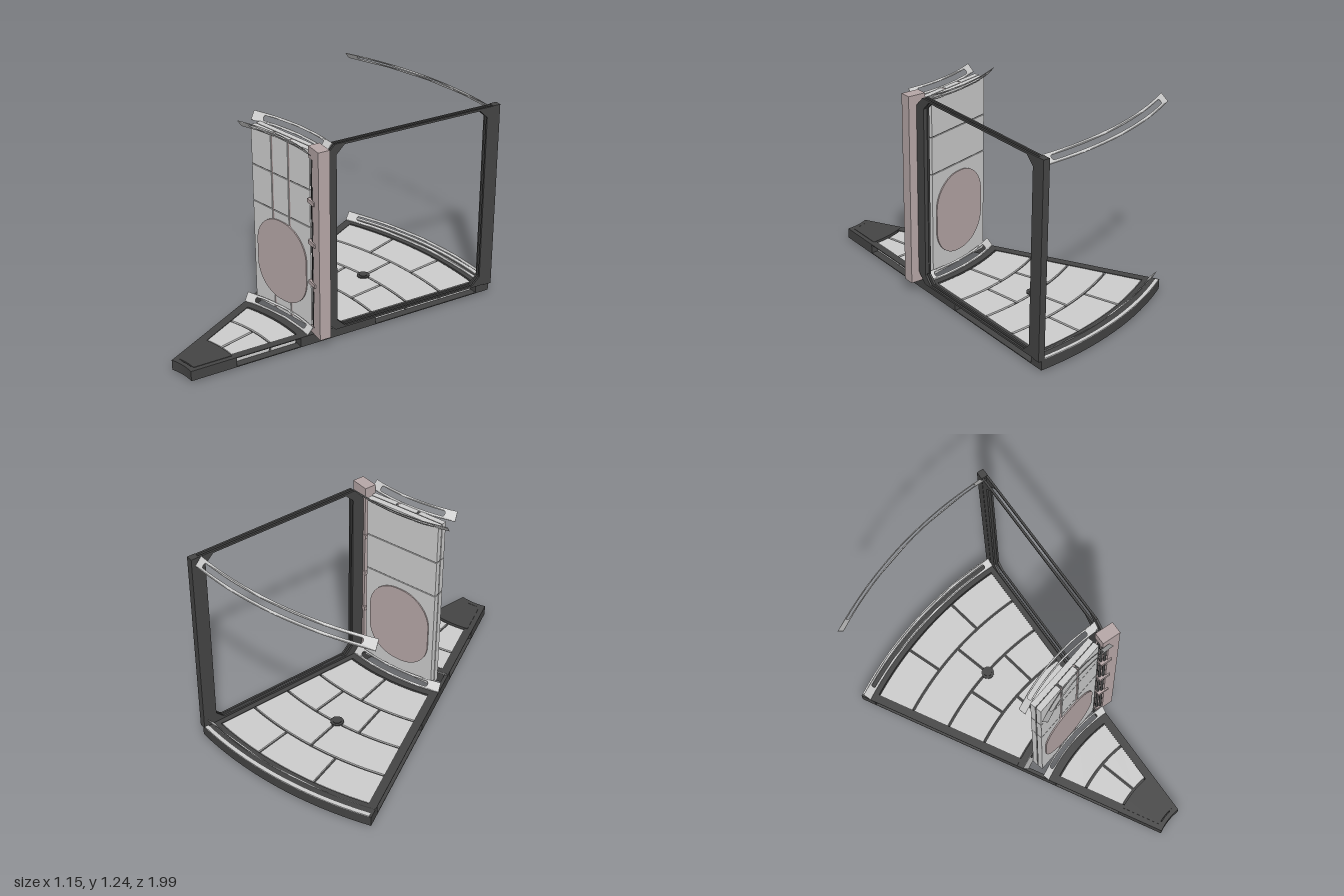
import * as THREE from 'three';

const DEG = Math.PI / 180;
const material = (color, side = THREE.FrontSide) => new THREE.MeshStandardMaterial({ color, side });
const light = material(0xcccccc);
const thin = material(0xcccccc, THREE.DoubleSide);
const dark = material(0x444444);
const brown = material(0xb5a6a6);

function add(parent, name, geometry, mat, x = 0, y = 0, z = 0) {
  const mesh = new THREE.Mesh(geometry, mat);
  mesh.name = name;
  mesh.position.set(x, y, z);
  parent.add(mesh);
  return mesh;
}

// Box given by its min and max corners
function block(parent, name, mat, [x0, y0, z0], [x1, y1, z1]) {
  return add(parent, name, new THREE.BoxGeometry(x1 - x0, y1 - y0, z1 - z0), mat,
    (x0 + x1) / 2, (y0 + y1) / 2, (z0 + z1) / 2);
}

const polar = (r, t) => new THREE.Vector2(r * Math.sin(t), r * Math.cos(t));

// Ring sector; each side is [angle in degrees, parallel offset]
function sector(r0, r1, [a, da], [b, db]) {
  const n = 16, pts = [];
  const at = (r, f) => {
    const ta = a * DEG + Math.asin(da / r), tb = b * DEG + Math.asin(db / r);
    return polar(r, ta + (tb - ta) * f);
  };
  for (let i = 0; i <= n; i++) pts.push(at(r0, i / n));
  for (let i = n; i >= 0; i--) pts.push(at(r1, i / n));
  return new THREE.Shape(pts);
}

// Extrude a plan shape upwards from y0 to y1
function slab(shape, y0, y1) {
  const g = new THREE.ExtrudeGeometry(shape, { depth: y1 - y0, bevelEnabled: false });
  return g.rotateX(-Math.PI / 2).translate(0, y0, 0);
}

// Sloping curved trim with a long rounded slot
function slottedTrim(rA, yA, rB, yB, slot0, slot1) {
  const shape = sector(Math.min(rA, rB), Math.max(rA, rB), [0, 0], [30, -0.018]);
  const rm = (rA + rB) / 2, hw = 0.01, hole = [];
  for (let i = 0; i <= 8; i++) {
    const p = i / 8 * Math.PI;
    hole.push(polar(rm + hw * Math.cos(p), slot1 * DEG + hw * Math.sin(p) / rm));
  }
  for (let i = 1; i < 20; i++) hole.push(polar(rm - hw, (slot1 + (slot0 - slot1) * i / 20) * DEG));
  for (let i = 0; i <= 8; i++) {
    const p = Math.PI + i / 8 * Math.PI;
    hole.push(polar(rm + hw * Math.cos(p), slot0 * DEG + hw * Math.sin(p) / rm));
  }
  for (let i = 1; i < 20; i++) hole.push(polar(rm + hw, (slot0 + (slot1 - slot0) * i / 20) * DEG));
  shape.holes.push(new THREE.Path(hole));
  const g = slab(shape, -0.002, 0.002), p = g.attributes.position;
  for (let i = 0; i < p.count; i++) {
    const r = Math.hypot(p.getX(i), p.getZ(i));
    p.setY(i, p.getY(i) + yA + (yB - yA) * (r - rA) / (rB - rA));
  }
  g.computeVertexNormals();
  return g;
}

function buildFloor(floor) {
  const L = [0, 0], Li = [0, 0.05], Ri = [30, -0.065], R = [30, -0.018];
  const Y0 = 0.012, Y1 = 0.075;

  // Curved cross members
  for (const [r0, r1] of [[0.345, 0.37], [1.02, 1.065], [1.225, 1.27], [2.21, 2.3]])
    add(floor, 'floorCrossMember', slab(sector(r0, r1, L, R), Y0, Y1), dark);
  add(floor, 'outerLedge', slab(sector(2.277, 2.3, [0, 0.012], R), Y1, 0.08), light);

  // Side rails: solid at the joints, open channels beside the tiles
  for (const [a, b] of [[L, Li], [Ri, R]]) {
    const left = a === L;
    const solid = (r0, r1) => add(floor, 'sideRail',
      slab(sector(r0, r1, left && r0 > 1.06 && r1 < 1.23 ? [0, 0] : a,
        left && r0 > 1.06 && r1 < 1.23 ? [0, 0.02] : b), Y0, Y1), dark);
    solid(0.37, 0.62);
    solid(1.065, 1.225);
    solid(1.27, 1.51);
    for (const [r0, r1] of [[0.62, 1.02], [1.51, 2.21]])
      for (const y of [Y0, Y1 - 0.005])
        add(floor, 'railFlange', slab(sector(r0, r1, a, b), y, y + 0.005), dark);
  }

  // Dark backing seen between the tiles
  for (const [r0, r1] of [[0.365, 1.03], [1.26, 2.22]])
    add(floor, 'floorBacking', slab(sector(r0, r1, [0, 0.056], [30, -0.071]), 0.02, 0.06), dark);

  // Tile rows: inner radius, outer radius, joint angles
  const rows = [
    [0.61, 0.85, [15]], [0.85, 1.02, []],
    [1.27, 1.51, [15]], [1.51, 1.745, [10, 20]], [1.745, 1.98, [15]], [1.98, 2.21, [10, 20]],
  ];
  const gap = 0.007;
  for (const [r0, r1, joints] of rows) {
    const sides = [[0, 0.05], ...joints.map(j => [j, 0]), [30, -0.065]];
    for (let i = 0; i < sides.length - 1; i++) {
      const a = i ? [sides[i][0], gap] : sides[i];
      const b = i < sides.length - 2 ? [sides[i + 1][0], -gap] : sides[i + 1];
      add(floor, 'floorTile', slab(sector(r0 + gap, r1 - gap, a, b), 0.006, 0.071), light);
    }
  }

  // Inner hatch and round floor fitting
  add(floor, 'innerHatch', slab(sector(0.375, 0.605, [0, 0.03], [30, -0.045]), 0.01, 0.078), dark);
  const c = polar(1.738, 15 * DEG);
  add(floor, 'floorFitting', new THREE.CylinderGeometry(0.038, 0.038, 0.074, 24), dark, c.x, 0.041, -c.y);
  add(floor, 'floorFittingCap', new THREE.CylinderGeometry(0.024, 0.024, 0.082, 24), dark, c.x, 0.041, -c.y);

  // Slotted trims at floor and ceiling
  for (const [rA, rB, s0, s1] of [[2.24, 2.28, 2.1, 27.7], [1.23, 1.195, 4, 25.5], [1.065, 1.1, 4, 25.5]]) {
    add(floor, 'floorTrim', slottedTrim(rA, 0.077, rB, 0.12, s0, s1), thin);
    add(floor, 'ceilingTrim', slottedTrim(rA, 1.234, rB, 1.191, s0, s1), thin);
  }
}

function buildWall(wall) {
  const w = 0.235, rows = [0.08, 0.73, 0.96, 1.2], g = 0.003;
  block(wall, 'wallCore', dark, [-w + 0.004, 0.085, -0.028], [w - 0.004, 1.195, 0.028]);
  for (let i = 0; i < 3; i++) {
    const y0 = rows[i] + g, y1 = rows[i + 1] - g;
    block(wall, 'wallBackPanel', light, [-w, y0, -0.035], [w, y1, -0.003]);
    for (const [x0, x1] of [[-w, -0.076], [-0.06, 0.06], [0.076, w]])
      block(wall, 'wallFrontPanel', light, [x0, y0, 0.003], [x1, y1, 0.035]);
  }
  for (const x of [-0.068, 0.068])
    block(wall, 'wallBatten', brown, [x - 0.005, 0.085, 0], [x + 0.005, 1.195, 0.032]);

  // Rounded door through the wall
  const hx = 0.203, hy = 0.255, r = 0.19;
  const s = new THREE.Shape();
  s.absarc(hx - r, hy - r, r, 0, Math.PI / 2);
  s.absarc(r - hx, hy - r, r, Math.PI / 2, Math.PI);
  s.absarc(r - hx, r - hy, r, Math.PI, 1.5 * Math.PI);
  s.absarc(hx - r, r - hy, r, 1.5 * Math.PI, 2 * Math.PI);
  const door = new THREE.ExtrudeGeometry(s, { depth: 0.084, bevelEnabled: false, curveSegments: 14 });
  add(wall, 'ovalDoor', door, brown, 0, 0.425, -0.042);
}

// Chamfered rectangle points
const chamfered = (x0, x1, y0, y1, c0, c1) => [
  [x0 + c0, y0], [x1 - c1, y0], [x1, y0 + c1], [x1, y1 - c1],
  [x1 - c1, y1], [x0 + c0, y1], [x0, y1 - c0], [x0, y0 + c0],
].map(p => new THREE.Vector2(...p));

function buildSide(side) {
  // Two thin open frames, joined by the outer post
  const shape = new THREE.Shape(chamfered(1.17, 2.3, 0.075, 1.235, 0.065, 0.002));
  shape.holes.push(new THREE.Path(chamfered(1.245, 2.217, 0.087, 1.223, 0.05, 0.05)));
  for (const z of [-0.034, -0.008])
    add(side, 'sideFrame', new THREE.ExtrudeGeometry(shape, { depth: 0.012, bevelEnabled: false }), dark, 0, 0, z);
  block(side, 'outerPost', dark, [2.255, 0.07, -0.036], [2.302, 1.237, 0.004]);
  block(side, 'innerPostCore', dark, [1.175, 0.14, -0.03], [1.24, 1.17, 0]);

  // Pillar with full-width ends, collars and conduits
  block(side, 'pillar', brown, [1.105, 0.07, -0.015], [1.175, 1.235, 0.055]);
  for (const [y0, y1] of [[0.07, 0.115], [1.165, 1.235]])
    block(side, 'pillarEnd', brown, [1.105, y0, -0.055], [1.175, y1, 0.055]);
  block(side, 'pillarBack', brown, [1.145, 0.11, -0.05], [1.172, 1.17, -0.01]);
  for (const y of [0.4, 0.655, 0.91])
    block(side, 'pillarCollar', brown, [1.097, y - 0.012, -0.06], [1.175, y + 0.012, 0.01]);
  for (const [r, z] of [[1.115, -0.027], [1.122, -0.047], [1.14, -0.056]])
    add(side, 'conduit', new THREE.CylinderGeometry(0.008, 0.008, 1.06, 10), dark, r, 0.64, z);
}

export function createModel() {
  const model = new THREE.Group();
  model.name = 'roomSector';
  const group = (name, x, z, angle) => {
    const g = new THREE.Group();
    g.name = name;
    g.position.set(x, 0, z);
    g.rotation.y = angle * DEG;
    model.add(g);
    return g;
  };
  buildFloor(group('floor', -0.575, 1.3, 0));
  buildWall(group('wall', -0.295, 0.2, -15));
  buildSide(group('side', -0.575, 1.3, 60));
  return model;
}
